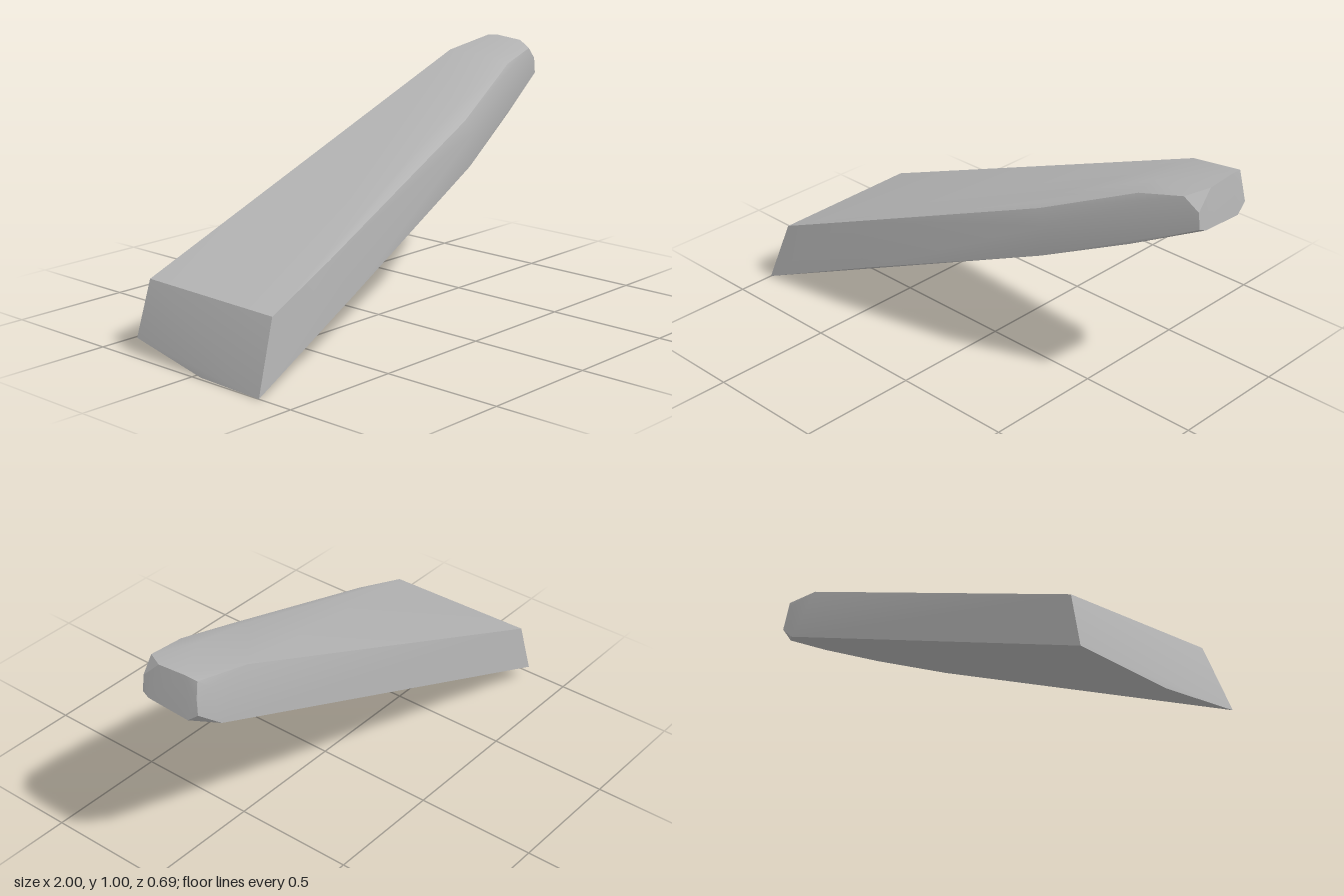
import * as THREE from 'three';
import { ConvexGeometry } from 'three/addons/geometries/ConvexGeometry.js';
import { toCreasedNormals } from 'three/addons/utils/BufferGeometryUtils.js';

export function createModel() {
  const grey = new THREE.MeshStandardMaterial({ color: 0xb4b4b4 });
  grey.name = 'lightGrey';

  // Corners of the slanted, tapered slab, grouped by feature
  const baseEnd = [
    [-1, 0, 0.345], [-0.985, 0, 0.03], [-0.958, 0.06, -0.348],
    [-0.9, 0.27, 0.315], [-0.9, 0.28, -0.332],
  ];
  const lowerFrontEdge = [[-0.45, 0.235, 0.28], [0.38, 0.565, 0.15], [0.73, 0.715, 0.06]];
  const upperFrontEdge = [[-0.57, 0.4, 0.28], [0.36, 0.755, 0.14], [0.75, 0.925, 0.045], [0.93, 0.965, 0.015]];
  // Extra rows soften the turn from the top to the front
  const softening = [[0.36, 0.785, 0.07], [0.75, 0.945, -0.04], [0.4, 0.7, 0.145], [0.75, 0.86, 0.052]];
  const backEdges = [[0.75, 0.95, -0.268], [0.93, 0.955, -0.265], [0.9, 0.79, -0.28]];
  const underside = [[0.76, 0.727, -0.05]];
  const tipEnd = [
    [0.995, 0.85, 0], [0.988, 0.915, 0], [0.98, 0.985, -0.07], [0.98, 0.995, -0.19],
    [0.975, 0.99, -0.245], [0.988, 0.925, -0.25], [0.995, 0.865, -0.26],
    [1, 0.828, -0.215], [1, 0.838, -0.03],
  ];

  const corners = [
    ...baseEnd, ...lowerFrontEdge, ...upperFrontEdge, ...softening,
    ...backEdges, ...underside, ...tipEnd,
  ].map((p) => new THREE.Vector3(...p));

  // Closed shell: gentle bends smooth, real edges sharp
  const slab = new THREE.Mesh(toCreasedNormals(new ConvexGeometry(corners), 0.55), grey);
  slab.name = 'taperedSlab';

  const model = new THREE.Group();
  model.name = 'slantedSlab';
  model.add(slab);
  return model;
}
